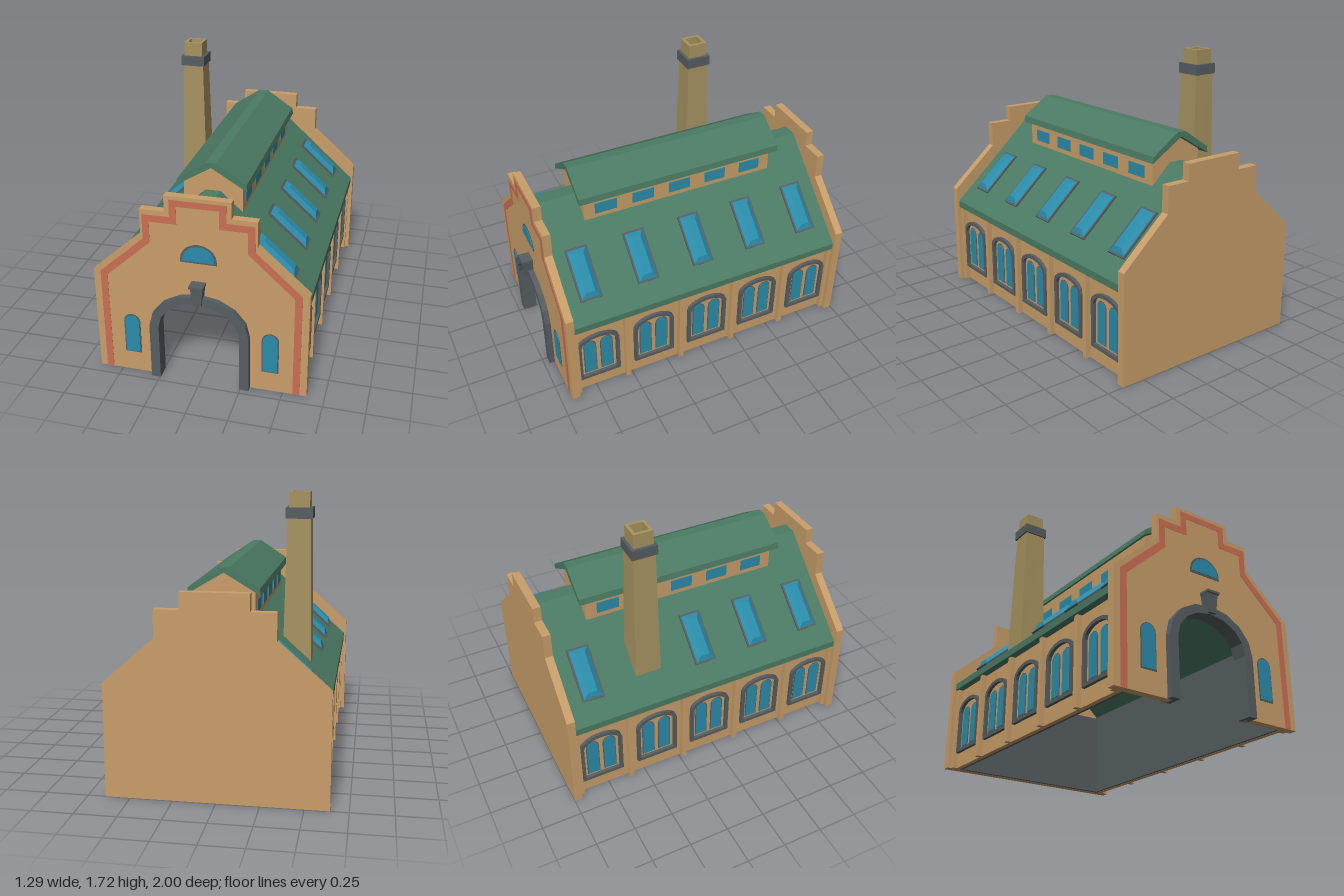
import * as THREE from 'three';

const mat = (name, color, side = THREE.FrontSide) => {
  const m = new THREE.MeshStandardMaterial({ color, side });
  m.name = name;
  return m;
};

// Outline with straight sides and an elliptical top, counter-clockwise from bottom right
function archPoints(half, bottom, spring, top, n = 8, cx = 0) {
  const pts = [[cx + half, bottom]];
  for (let i = 0; i <= n; i++) {
    const a = Math.PI * i / n;
    pts.push([cx + half * Math.cos(a), spring + (top - spring) * Math.sin(a)]);
  }
  pts.push([cx - half, bottom]);
  return pts;
}
const vec = pts => pts.map(p => new THREE.Vector2(p[0], p[1]));
const mirrored = half => [...half, ...half.map(([x, y]) => [-x, y]).reverse()];

// Extruded outline between two z positions, with optional hole
function slab(pts, z0, z1, hole) {
  const shape = new THREE.Shape(vec(pts));
  if (hole) shape.holes.push(new THREE.Path(vec(hole)));
  const g = new THREE.ExtrudeGeometry(shape, { depth: z1 - z0, bevelEnabled: false });
  return g.translate(0, 0, z0);
}

// Box whose top and bottom faces may differ in size
function taperedBox(bottomX, bottomZ, topX, topZ, h) {
  const g = new THREE.BoxGeometry(1, h, 1);
  const p = g.attributes.position;
  for (let i = 0; i < p.count; i++) {
    const up = p.getY(i) > 0;
    p.setX(i, p.getX(i) * (up ? topX : bottomX));
    p.setZ(i, p.getZ(i) * (up ? topZ : bottomZ));
  }
  return g.toNonIndexed();
}

export function createModel() {
  const model = new THREE.Group();
  model.name = 'engineHouse';
  const sand = mat('sandstone', 0xc99e69);
  const grey = mat('darkGrey', 0x565e61);
  const green = mat('roofGreen', 0x4b7b64);
  const blue = mat('glassBlue', 0x2b8caa);
  const olive = mat('chimneyBrick', 0xa79360);
  const red = mat('redBrick', 0xcb6f53);

  function add(parent, name, geometry, material, x = 0, y = 0, z = 0) {
    geometry.computeVertexNormals();
    const m = new THREE.Mesh(geometry, material);
    m.name = name;
    m.position.set(x, y, z);
    parent.add(m);
    return m;
  }
  const box = (parent, name, w, h, d, material, x, y, z) =>
    add(parent, name, new THREE.BoxGeometry(w, h, d), material, x, y, z);

  // Stepped gables; the front one has the doorway cut into its outline
  const gable = [[0.645, 0], [0.645, 0.68], [0.342, 0.95], [0.342, 1.11], [0.195, 1.11], [0.195, 1.21]];
  const doorway = archPoints(0.27, 0, 0.36, 0.575);
  add(model, 'frontGable', slab([...mirrored(gable), ...doorway.slice().reverse()], 0.88, 0.93), sand);
  add(model, 'backGable', slab(mirrored(gable), -1, -0.95), sand);

  // Red brick band following the front gable
  const bandOuter = [[0.603, 0.002], [0.603, 0.675], [0.328, 0.925], [0.328, 1.08], [0.165, 1.08], [0.165, 1.188]];
  const bandInner = [[0.56, 0.002], [0.56, 0.655], [0.287, 0.905], [0.287, 1.038], [0.124, 1.038], [0.124, 1.15]];
  add(model, 'gableBand',
    slab([...mirrored(bandOuter), ...mirrored(bandInner).reverse()], 0.928, 0.932), red);

  // Door arch and keystone
  add(model, 'doorArch', slab([...archPoints(0.302, 0, 0.36, 0.602),
    ...archPoints(0.245, 0, 0.36, 0.552).reverse()], 0.875, 0.966), grey);
  add(model, 'keystone', taperedBox(0.05, 0.09, 0.076, 0.1, 0.12), grey, 0, 0.615, 0.938);
  box(model, 'keystoneCap', 0.086, 0.015, 0.11, grey, 0, 0.68, 0.945);

  // Glass plate on a slightly larger grey plate, facing +z
  function archedWindow(parent, name, half, bottom, spring, top, z, cx = 0, rim = 0.007) {
    add(parent, name + 'Frame', slab(archPoints(half, bottom, spring, top, 10, cx), z, z + 0.004), grey);
    add(parent, name + 'Glass',
      slab(archPoints(half - rim, bottom + rim, spring, top - rim, 10, cx), z, z + 0.008), blue);
  }
  for (const s of [-1, 1]) archedWindow(model, 'gableSideWindow', 0.051, 0.132, 0.35, 0.4, 0.929, s * 0.423);
  archedWindow(model, 'gableTopWindow', 0.108, 0.806, 0.825, 0.925, 0.929, 0, 0.012);

  // Grey inner lining
  box(model, 'backLining', 1.12, 0.56, 0.02, grey, 0, 0.28, -0.942);

  const bays = [0.72, 0.344, -0.032, -0.408, -0.784];
  for (const s of [-1, 1]) {
    const wall = new THREE.Group();
    wall.name = s > 0 ? 'leftWall' : 'rightWall';
    model.add(wall);
    box(wall, 'wallPanel', 0.03, 0.565, 1.84, sand, s * 0.57, 0.2825, -0.035);
    box(wall, 'wallLining', 0.02, 0.57, 1.83, grey, s * 0.548, 0.286, -0.035);
    // Pilasters between the bays
    for (let i = 0; i < 4; i++) {
      box(wall, 'pilaster', 0.04, 0.56, 0.032, sand, s * 0.597, 0.28, (bays[i] + bays[i + 1]) / 2);
    }
    for (const z of [0.868, -0.938]) box(wall, 'endPilaster', 0.04, 0.56, 0.025, sand, s * 0.597, 0.28, z);
    // Twin-light bay windows
    for (const z of bays) {
      const bay = new THREE.Group();
      bay.name = 'bayWindow';
      bay.position.set(s * 0.584, 0, z);
      bay.rotation.y = s * Math.PI / 2;
      wall.add(bay);
      add(bay, 'bayFrame', slab(archPoints(0.137, 0.098, 0.385, 0.46), 0, 0.022,
        archPoints(0.115, 0.12, 0.375, 0.438)), grey);
      for (const t of [-1, 1]) archedWindow(bay, 'bayLight', 0.042, 0.132, 0.36, 0.404, 0, t * 0.055, 0.005);
    }
  }

  // Main roof with flat ridge
  const roof = [[0.58, 0.545], [0.63, 0.545], [0.63, 0.59], [0.045, 1.12]];
  add(model, 'mainRoof', slab([...mirrored(roof), [0, 1.07]], -0.951, 0.881), green);

  // Skylights lying on the slopes
  const slope = Math.atan2(0.53, 0.585);
  for (const s of [-1, 1]) for (const z of bays) {
    if (s < 0 && z === bays[3]) continue; // chimney stands here
    const sky = new THREE.Group();
    sky.name = 'skylight';
    sky.position.set(s * 0.405, 0.59 + (0.63 - 0.405) * 0.906, z);
    sky.rotation.z = -s * slope;
    model.add(sky);
    box(sky, 'skylightFrame', 0.328, 0.02, 0.14, grey, 0, 0.002, 0);
    add(sky, 'skylightGlass', taperedBox(0.312, 0.125, 0.24, 0.06, 0.026), blue, 0, 0.022, 0);
  }

  // Raised roof lantern
  const lantern = new THREE.Group();
  lantern.name = 'lantern';
  model.add(lantern);
  add(lantern, 'lanternWalls',
    slab([[0.178, 0.99], [0.178, 1.173], [0, 1.28], [-0.178, 1.173], [-0.178, 0.99]], -0.675, 0.612), sand);
  for (const s of [-1, 1]) for (let i = 0; i < 5; i++) {
    box(lantern, 'lanternWindow', 0.008, 0.075, 0.145, blue, s * 0.178, 1.068, 0.47 - i * 0.25);
  }
  const cap = [[0.215, 1.148], [0.208, 1.188], [0.03, 1.307]];
  add(lantern, 'lanternRoof', slab([...mirrored(cap), [0, 1.277]], -0.72, 0.652), green);

  // Chimney, its foot cut to the roof slope
  const chimney = new THREE.Group();
  chimney.name = 'chimney';
  chimney.position.set(-0.404, 0, -0.408);
  model.add(chimney);
  const shaft = taperedBox(0.168, 0.168, 0.136, 0.136, 0.9);
  const p = shaft.attributes.position;
  for (let i = 0; i < p.count; i++) {
    if (p.getY(i) < 0) p.setY(i, -0.45 + (p.getX(i) + 0.084) * 0.906);
  }
  add(chimney, 'shaft', shaft, olive, 0, 1.15, 0);
  box(chimney, 'band', 0.158, 0.064, 0.158, grey, 0, 1.598, 0);
  const square = h => [[h, -h], [h, h], [-h, h], [-h, -h]];
  add(chimney, 'chimneyTop', slab(square(0.061), 1.6, 1.72, square(0.042)).rotateX(-Math.PI / 2), olive);
  box(chimney, 'flue', 0.084, 0.03, 0.084, grey, 0, 1.645, 0);

  return model;
}
